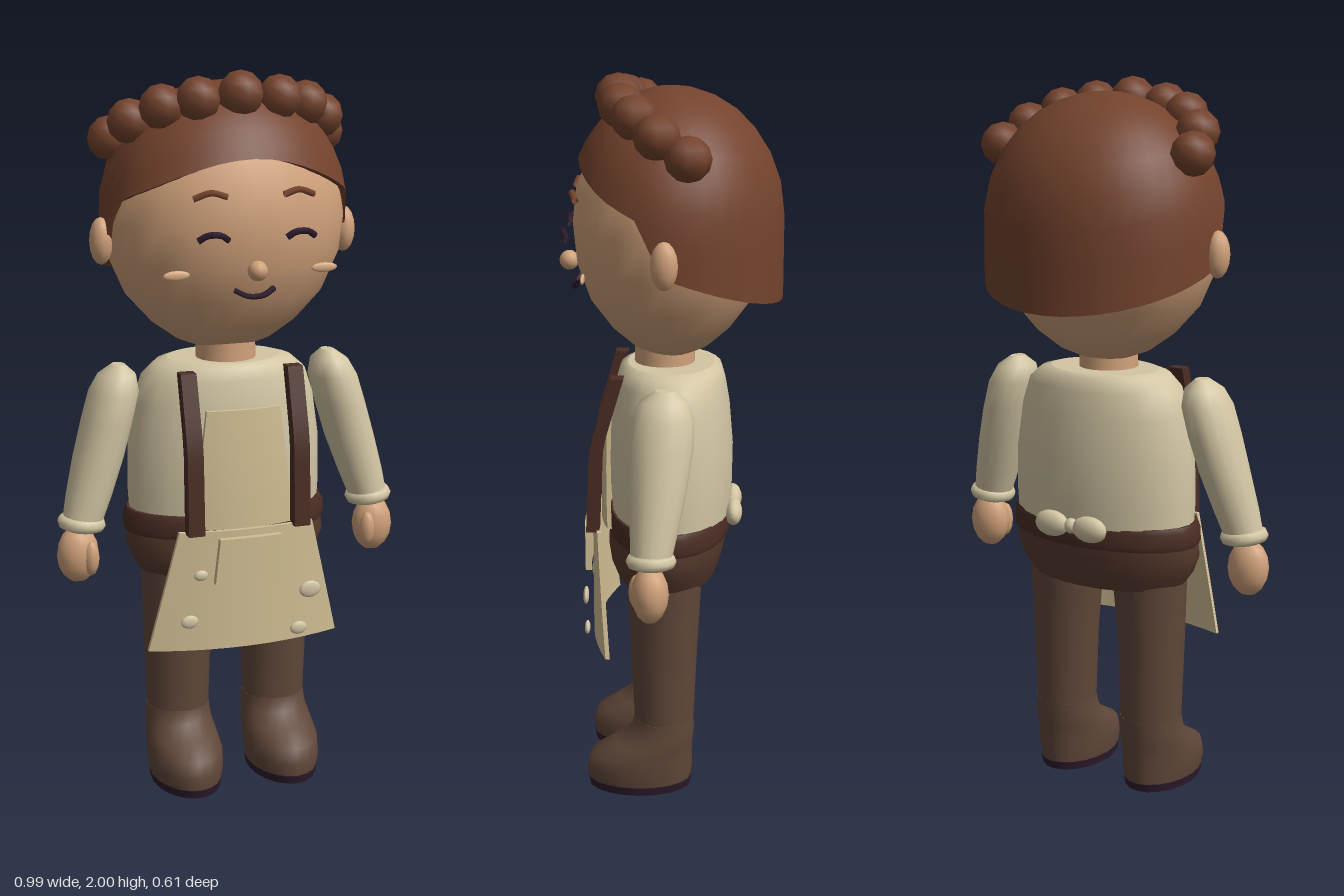
import * as THREE from 'three';

const mat = (name, color) => new THREE.MeshStandardMaterial({ name, color, side: THREE.DoubleSide });

export function createModel() {
  const model = new THREE.Group();
  model.name = 'cook';
  const skin = mat('skin', 0xd0a17a), blush = mat('blush', 0xdcae84), hairBrown = mat('hairBrown', 0x74432d);
  const cream = mat('cream', 0xd3c6a4), apronTan = mat('apronTan', 0xd2bf95), trouserBrown = mat('trouserBrown', 0x604739);
  const hipBrown = mat('hipBrown', 0x583a2d), leather = mat('leather', 0x4b2d24), plum = mat('plum', 0x2c1a2a);

  const add = (name, geometry, material, x = 0, y = 0, z = 0) => {
    const mesh = new THREE.Mesh(geometry, material);
    mesh.name = name;
    mesh.position.set(x, y, z);
    model.add(mesh);
    return mesh;
  };
  const ball = (name, material, [x, y, z], [rx, ry, rz], w = 12, h = 8) => {
    const mesh = add(name, new THREE.SphereGeometry(1, w, h), material, x, y, z);
    mesh.scale.set(rx, ry, rz);
    return mesh;
  };

  // Smooth skin over closed loops, listed bottom to top; a repeated loop makes a sharp edge
  const skinLoops = (count, seg, point) => {
    const pos = [], index = [];
    for (let i = 0; i < count; i++) {
      for (let j = 0; j < seg; j++) {
        pos.push(...point(i, (j / seg) * Math.PI * 2));
        if (i === count - 1) continue;
        const k = (j + 1) % seg, a = i * seg, b = a + seg;
        index.push(a + j, a + k, b + k, a + j, b + k, b + j);
      }
    }
    const g = new THREE.BufferGeometry();
    g.setAttribute('position', new THREE.Float32BufferAttribute(pos, 3));
    g.setIndex(index);
    g.computeVertexNormals();
    return g;
  };
  // rings: [y, centreX, centreZ, radiusX, radiusZ], ends closed flat
  const loft = (rings, seg = 16) => {
    const f = rings[0], l = rings[rings.length - 1];
    const all = [[f[0], f[1], f[2], 0, 0], f, ...rings, l, [l[0], l[1], l[2], 0, 0]];
    return skinLoops(all.length, seg, (i, a) => {
      const [y, cx, cz, rx, rz] = all[i];
      return [cx + rx * Math.sin(a), y, cz + rz * Math.cos(a)];
    });
  };
  // Bent slab between two heights, half widths at bottom and top
  const panel = (y0, y1, w0, w1, thick, bend, zAt) => {
    const g = new THREE.BoxGeometry(2, 1, thick, 10, 8, 1);
    const p = g.attributes.position;
    for (let i = 0; i < p.count; i++) {
      const t = p.getY(i) + 0.5, x = p.getX(i) * (w0 + (w1 - w0) * t);
      p.setXYZ(i, x, y0 + (y1 - y0) * t, p.getZ(i) + zAt(t) - bend * x * x);
    }
    g.computeVertexNormals();
    return g;
  };
  const stroke = (name, points, r, material) => {
    const curve = new THREE.CatmullRomCurve3(points.map((p) => new THREE.Vector3(...p)));
    add(name, new THREE.TubeGeometry(curve, 10, r, 6), material);
  };

  // Head and neck
  add('head', loft([[1.245, 0.07], [1.27, 0.135], [1.32, 0.205], [1.4, 0.278], [1.5, 0.322], [1.6, 0.334],
    [1.7, 0.32], [1.8, 0.265], [1.88, 0.14]].map(([y, r]) => [y, 0, 0, r, r * 0.8]), 24), skin);
  add('neck', loft([[1.18, 0, 0.018, 0.085, 0.085], [1.3, 0, 0.018, 0.08, 0.08]]), skin);
  ball('nose', skin, [0, 1.495, 0.278], [0.027, 0.027, 0.027]);
  stroke('mouth', [[-0.055, 1.443, 0.252], [-0.025, 1.428, 0.262], [0, 1.425, 0.264], [0.025, 1.428, 0.262], [0.055, 1.443, 0.252]], 0.008, plum);

  // Hair cap with a hem that is high over the face, stepped at the ears and low behind
  const crown = 1.965, steps = 9;
  const hem = (a) => {
    const s = Math.abs(a > Math.PI ? a - 2 * Math.PI : a);
    const front = 1.78 - 0.125 * Math.sin(s) ** 2;
    const back = 1.51 + 0.36 * 0.305 * Math.min(0, Math.cos(s));
    return THREE.MathUtils.lerp(front, back, THREE.MathUtils.smoothstep(s, 1.22, 1.58));
  };
  add('hairCap', skinLoops(steps + 3, 40, (i, a) => {
    const t = Math.max(0, i - 2) / steps, h = hem(a);
    const y = h + (crown - h) * (1 - (1 - t) ** 2);
    const u = Math.max(0, (y - 1.62) / (crown - 1.62));
    const r = Math.sqrt(Math.max(0, 1 - u * u)) * (i === 0 ? 0.72 : 1);
    return [0.342 * r * Math.sin(a), y, (Math.cos(a) > 0 ? 0.28 : 0.305) * r * Math.cos(a)];
  }), hairBrown);

  // Braid of round knots across the head
  ball('braidKnot', hairBrown, [0, 1.937, 0.14], [0.064, 0.062, 0.064], 8, 6);
  const knots = [[0.112, 1.925, 0.128], [0.2, 1.905, 0.09], [0.27, 1.865, 0.03], [0.303, 1.815, -0.05]];

  // Shirt, belt and hips
  add('shirt', loft([[0.74, 0, 0, 0.272, 0.16], [0.85, 0, 0, 0.278, 0.17], [0.98, 0, 0, 0.275, 0.172], [1.1, 0, 0, 0.258, 0.162],
    [1.17, 0, 0, 0.235, 0.15], [1.205, 0, 0, 0.195, 0.14], [1.215, 0, 0, 0.16, 0.12]], 24), cream);
  add('belt', loft([[0.735, 0, 0.005, 0.288, 0.168], [0.75, 0, 0.005, 0.294, 0.173], [0.785, 0, 0.005, 0.292, 0.172],
    [0.8, 0, 0.005, 0.284, 0.166]], 24), leather);
  add('hips', loft([[0.61, 0, 0.015, 0.24, 0.14], [0.65, 0, 0.015, 0.268, 0.155], [0.7, 0, 0.012, 0.288, 0.165],
    [0.745, 0, 0.008, 0.284, 0.164]], 24), hipBrown);
  ball('bowKnot', cream, [0, 0.795, -0.17], [0.022, 0.022, 0.02]);

  // Apron
  add('apronSkirt', panel(0.435, 0.775, 0.275, 0.192, 0.012, 0.62, () => 0.215), apronTan);
  add('apronBib', panel(0.77, 1.1, 0.145, 0.105, 0.012, 1.1, (t) => 0.19 - 0.012 * t * t), apronTan);
  add('apronPocket', panel(0.63, 0.757, 0.102, 0.088, 0.018, 0.5, () => 0.234), apronTan);
  for (const [x, y, r] of [[-0.142, 0.66, 0.02], [-0.175, 0.53, 0.025], [0.175, 0.585, 0.032], [0.142, 0.475, 0.025]])
    ball('apronButton', cream, [x, y, 0.232], [r, r * 0.75, 0.008]);

  // Mirrored parts
  for (const s of [1, -1]) {
    for (const [x, y, z] of knots) ball('braidKnot', hairBrown, [x * s, y, z], [0.062, 0.06, 0.062], 8, 6);
    ball('ear', skin, [s * 0.347, 1.55, 0.01], [0.032, 0.064, 0.036]);
    ball('cheek', blush, [s * 0.205, 1.485, 0.228], [0.037, 0.013, 0.006]);
    stroke('eyebrow', [[s * 0.078, 1.688, 0.262], [s * 0.12, 1.699, 0.258], [s * 0.165, 1.684, 0.247]], 0.009, hairBrown);
    stroke('closedEye', [[s * 0.08, 1.579, 0.28], [s * 0.1, 1.592, 0.284], [s * 0.12, 1.595, 0.284], [s * 0.14, 1.592, 0.279], [s * 0.16, 1.579, 0.272]], 0.009, plum);

    add('strap', panel(0.77, 1.205, 0.023, 0.022, 0.036, 0, (t) => (t < 0.55 ? 0.212 - 0.02 * t : 0.201 - 0.13 * (t - 0.55))), leather).position.x = s * 0.152;
    ball('bowLoop', cream, [s * 0.062, 0.795, -0.175], [0.055, 0.037, 0.025]);

    // Arm
    add('sleeve', loft([[0.785, s * 0.422, 0.042, 0.056, 0.054], [0.86, s * 0.4, 0.035, 0.064, 0.064], [0.96, s * 0.37, 0.025, 0.07, 0.075],
      [1.06, s * 0.342, 0.018, 0.07, 0.084], [1.14, s * 0.32, 0.014, 0.068, 0.082], [1.185, s * 0.31, 0.012, 0.052, 0.062],
      [1.212, s * 0.305, 0.01, 0.018, 0.025]]), cream);
    const cuff = add('cuff', new THREE.TorusGeometry(0.047, 0.02, 8, 16), cream, s * 0.424, 0.783, 0.042);
    cuff.rotation.set(Math.PI / 2, s * 0.12, 0);
    ball('hand', skin, [s * 0.437, 0.695, 0.045], [0.059, 0.08, 0.05]);
    ball('thumb', skin, [s * 0.408, 0.69, 0.08], [0.023, 0.05, 0.023], 8, 6);

    // Leg, boot and sole
    const lx = s * 0.145;
    add('trouserLeg', loft([[0.17, lx, 0.017, 0.088, 0.082], [0.43, lx, 0.017, 0.096, 0.094], [0.66, lx * 0.95, 0.015, 0.11, 0.105]]), trouserBrown);
    add('boot', loft([[0.022, lx, 0.087, 0.097, 0.146], [0.06, lx, 0.087, 0.104, 0.15], [0.1, lx, 0.08, 0.104, 0.142],
      [0.135, lx, 0.048, 0.1, 0.112], [0.17, lx, 0.022, 0.094, 0.09], [0.21, lx, 0.017, 0.09, 0.084]], 20), trouserBrown);
    add('sole', loft([[0, lx, 0.087, 0.095, 0.144], [0.024, lx, 0.087, 0.099, 0.149]], 20), plum);
  }
  return model;
}
